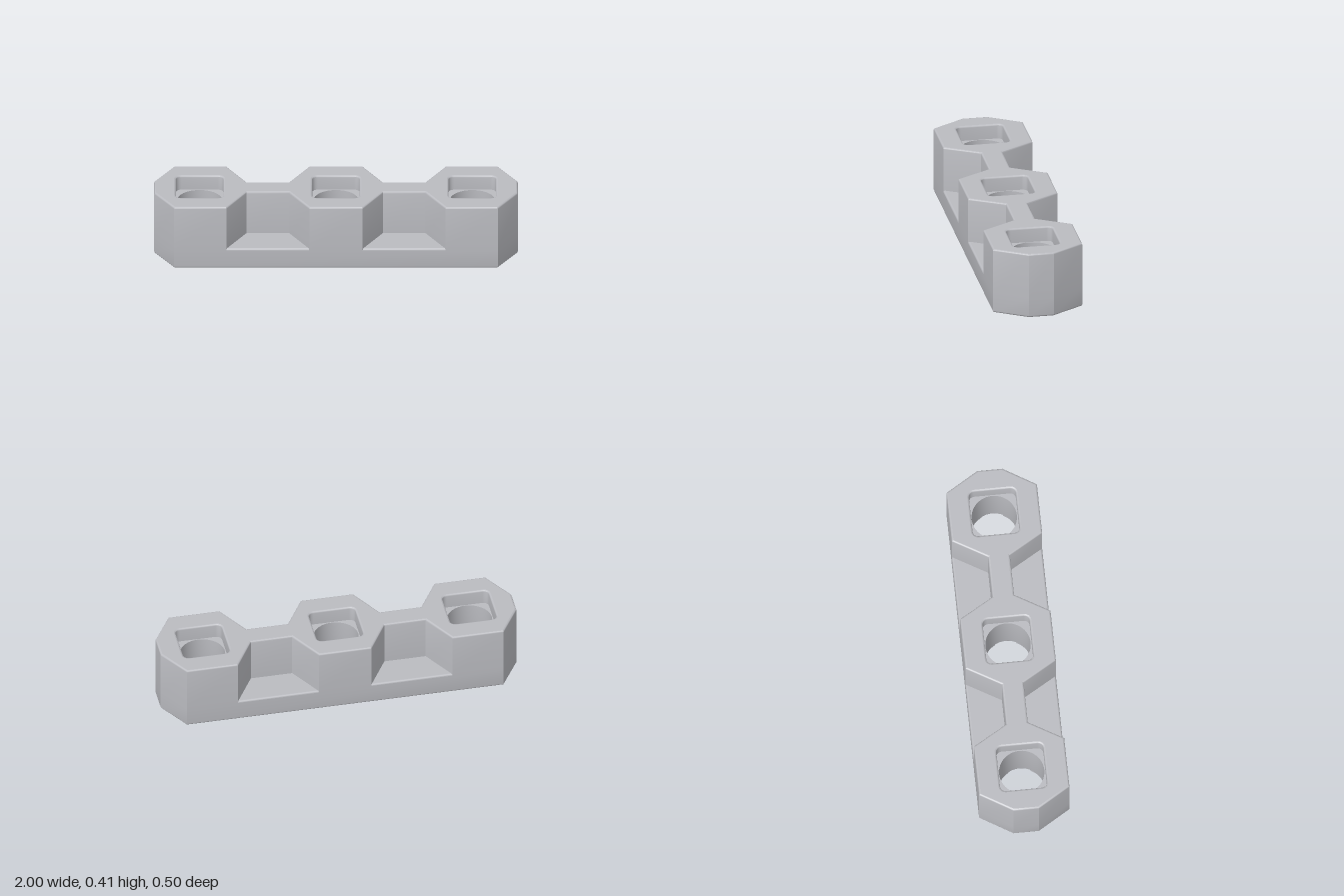
import * as THREE from 'three';
import { toCreasedNormals } from 'three/addons/utils/BufferGeometryUtils.js';

const BOTTOM = 0.03, SILL = 0.15, FLOOR = 0.32, TOP = 0.405, R = 0.01;
const CELLS = [-0.75, 0, 0.75], HOLE = 0.125, POCKET = 0.13;
const V = (x, y) => new THREE.Vector2(x, y);

// Moves every edge of a closed loop to its left by d, with mitred corners
function inset(loop, d) {
  const n = loop.length;
  return loop.map((p, i) => {
    const a = p.clone().sub(loop[(i + n - 1) % n]).normalize();
    const b = loop[(i + 1) % n].clone().sub(p).normalize();
    const na = V(-a.y, a.x), nb = V(-b.y, b.x);
    return na.clone().add(nb).multiplyScalar(d / (1 + na.dot(nb))).add(p);
  });
}

// Upright wall through rings of [inset, height]; counter-clockwise loops face out, clockwise ones face in
function wall(loop, rings) {
  const pos = [];
  const rows = rings.map(([d, y]) => inset(loop, d).map(p => [p.x, y, -p.y]));
  for (let r = 0; r + 1 < rows.length; r++) {
    for (let i = 0; i < loop.length; i++) {
      const j = (i + 1) % loop.length, lo = rows[r], hi = rows[r + 1];
      pos.push(...lo[i], ...lo[j], ...hi[j], ...lo[i], ...hi[j], ...hi[i]);
    }
  }
  const g = new THREE.BufferGeometry();
  g.setAttribute('position', new THREE.Float32BufferAttribute(pos, 3));
  return toCreasedNormals(g, 0.5);
}

// Flat face with holes, facing up or down
function plate(loop, holes, y, up = true) {
  const shape = new THREE.Shape(loop);
  shape.holes = holes.map(h => new THREE.Path(h));
  return new THREE.ShapeGeometry(shape).rotateX(up ? -Math.PI / 2 : Math.PI / 2).translate(0, y, 0);
}

// Quarter-round edge profiles
const steps = [0, 1, 2, 3, 4].map(i => i * Math.PI / 8);
const topRound = steps.map(a => [R * (1 - Math.cos(a)), TOP - R + R * Math.sin(a)]);
const bottomRound = steps.map(a => [R * (1 - Math.sin(a)), BOTTOM + R * (1 - Math.cos(a))]);

// Clockwise hole loops
const circle = cx => Array.from({ length: 48 }, (_, i) => {
  const a = -i * Math.PI / 24;
  return V(cx + HOLE * Math.cos(a), HOLE * Math.sin(a));
});
function roundedSquare(cx, half, r) {
  const pts = [];
  for (let q = 0; q < 4; q++) {
    for (let i = 0; i <= 4; i++) {
      const a = -(q * Math.PI / 2 + i * Math.PI / 8), c = -(q * Math.PI / 2 + Math.PI / 4);
      const k = (half - r) * Math.SQRT2;
      pts.push(V(cx + k * Math.cos(c) + r * Math.cos(a), k * Math.sin(c) + r * Math.sin(a)));
    }
  }
  return pts;
}

// Plan outline: long bar with chamfered ends, with or without side notches
const NX = 0.375, NOUT = 0.228, NIN = 0.116, DEPTH = 0.25, NECK = 0.06;
function outline(notched) {
  const half = [V(-1, -0.07), V(-0.89, -DEPTH)];
  if (notched) {
    for (const c of [-NX, NX]) {
      half.push(V(c - NOUT, -DEPTH), V(c - NIN, -NECK), V(c + NIN, -NECK), V(c + NOUT, -DEPTH));
    }
  }
  half.push(V(0.89, -DEPTH), V(1, -0.07));
  return [...half, ...half.map(p => V(-p.x, -p.y))];
}

// Quarter of a square peg that hugs the round hole
function footGeometry() {
  const a = 0.06, b = POCKET, r = 0.025, arc = 0.133;
  const c = Math.sqrt(arc * arc - a * a), t = Math.atan2(a, c);
  const s = new THREE.Shape();
  s.moveTo(c, a);
  s.lineTo(b, a);
  s.lineTo(b, b - r);
  s.absarc(b - r, b - r, r, 0, Math.PI / 2, false);
  s.lineTo(a, b);
  s.lineTo(a, c);
  s.absarc(0, 0, arc, Math.PI / 2 - t, t, true);
  const g = new THREE.ExtrudeGeometry(s, { depth: BOTTOM + 0.008, bevelEnabled: false, curveSegments: 8 });
  return toCreasedNormals(g.rotateX(-Math.PI / 2), 0.5);
}

export function createModel() {
  const model = new THREE.Group();
  const grey = new THREE.MeshStandardMaterial({ color: 0xbabbc0 });
  grey.name = 'lightGrey';
  const add = (name, geometry, parent = model) => {
    const mesh = new THREE.Mesh(geometry, grey);
    mesh.name = name;
    parent.add(mesh);
    return mesh;
  };

  const full = outline(false), notched = outline(true);
  const holes = CELLS.map(circle);
  const pockets = CELLS.map(x => roundedSquare(x, POCKET, 0.03));
  const sillEdge = SILL - R;

  // Body shell
  add('baseWall', wall(full, [...bottomRound].reverse().sort((p, q) => p[1] - q[1]).concat([[0, sillEdge]])));
  add('upperWall', wall(notched, [[0, sillEdge], ...topRound]));
  add('topFace', plate(inset(notched, R), pockets.map(p => inset(p, R)), TOP));
  add('bottomFace', plate(inset(full, R), holes.map(h => inset(h, R)), BOTTOM, false));

  // Notch floors with a rounded front lip
  const halfAt = z => NIN + (NOUT - NIN) * (z - NECK) / (DEPTH - NECK);
  for (const side of [0, Math.PI]) {
    for (const x of [-NX, NX]) {
      const notch = new THREE.Group();
      notch.name = 'notch';
      notch.rotation.y = side;
      const zi = DEPTH - R, w = halfAt(zi);
      add('notchFloor', plate([V(x - w, -zi), V(x + w, -zi), V(x + NIN, -NECK), V(x - NIN, -NECK)], [], SILL), notch);
      const lip = new THREE.PlaneGeometry(1, 1, 1, 4), p = lip.attributes.position;
      for (let i = 0; i < p.count; i++) {
        const a = (p.getY(i) + 0.5) * Math.PI / 2;
        const z = zi + R * Math.cos(a);
        p.setXYZ(i, x + 2 * p.getX(i) * halfAt(z), sillEdge + R * Math.sin(a), z);
      }
      lip.computeVertexNormals();
      add('notchLip', lip, notch);
      model.add(notch);
    }
  }

  // Square sockets over round through-holes, each with four feet
  const foot = footGeometry();
  CELLS.forEach((x, i) => {
    add('socketWall', wall(pockets[i], [[0, FLOOR], ...topRound]));
    add('socketFloor', plate(pockets[i], [holes[i]], FLOOR));
    add('holeWall', wall(holes[i], [...bottomRound, [0, FLOOR]]));
    for (let q = 0; q < 4; q++) {
      const f = add('foot', foot);
      f.position.x = x;
      f.rotation.y = q * Math.PI / 2;
    }
  });
  return model;
}
